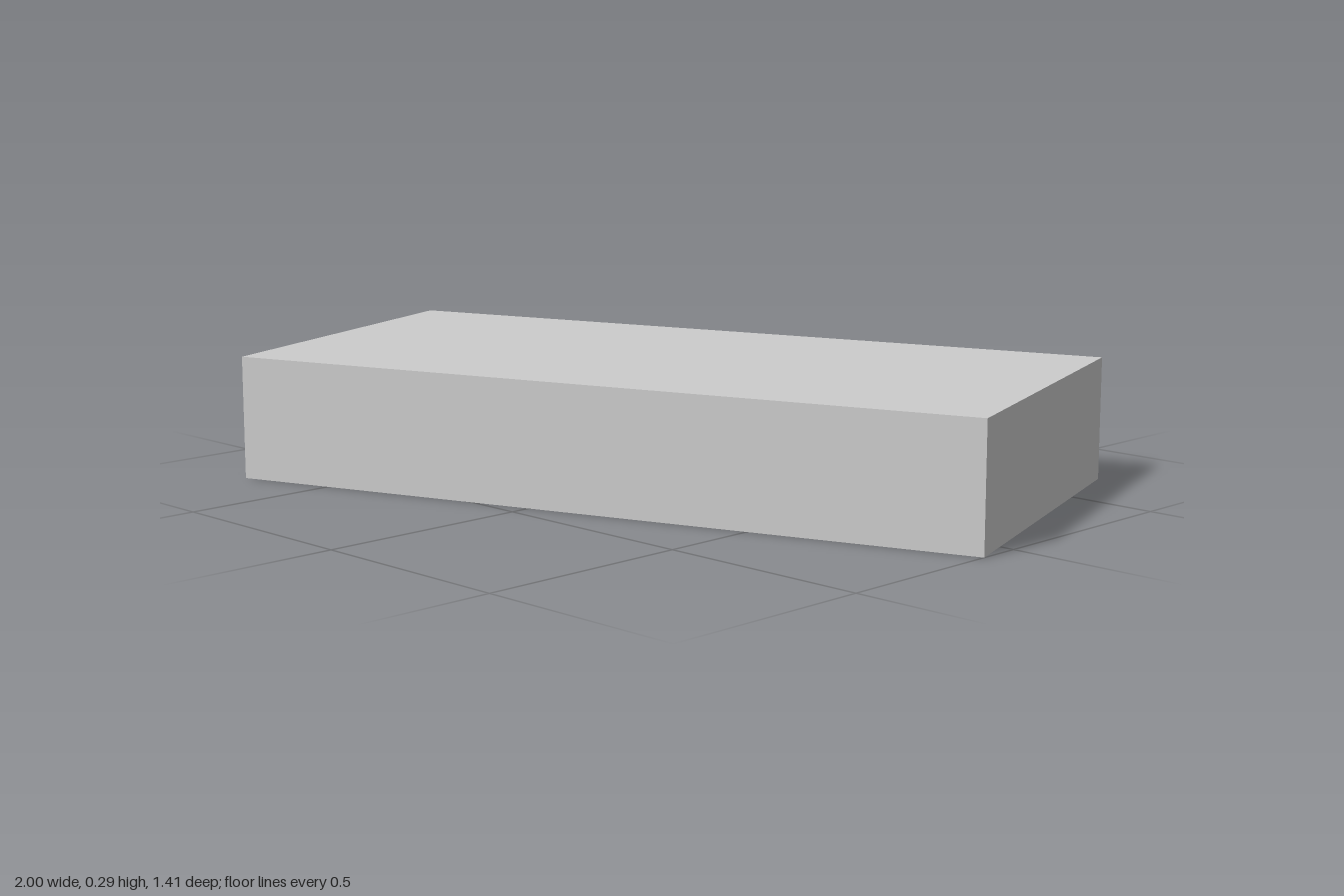
import * as THREE from 'three';

const LENGTH = 1.82, WIDTH = 0.853, HEIGHT = 0.29, RECESS = 0.01;
const material = new THREE.MeshStandardMaterial({ color: 0xcccccc, side: THREE.DoubleSide, flatShading: true });

// An opening: distance of its left edge from the wall's left end, then its size
const windowAt = (u) => ({ name: 'window', u, y: 0.044, w: 0.159, h: 0.148 });
const doorAt = (u) => ({ name: 'narrowOpening', u, y: 0.025, w: 0.06, h: 0.133 });

function mesh(name, geometry) {
  const m = new THREE.Mesh(geometry, material);
  m.name = name;
  return m;
}

// Shallow tray, open to the outside: four reveals and a back panel
function recess({ name, u, y, w, h }, length) {
  const geometry = new THREE.BoxGeometry(w, h, RECESS);
  const index = Array.from(geometry.index.array);
  index.splice(24, 6); // drop the outward face
  geometry.setIndex(index);
  geometry.clearGroups();
  const m = mesh(name, geometry);
  m.position.set(u + w / 2 - length / 2, y + h / 2, -RECESS / 2);
  return m;
}

// Thin wall facing +z, cut by its openings
function wall(name, length, openings = []) {
  const group = new THREE.Group();
  group.name = name;
  const a = length / 2;
  const rect = (Type, x0, y0, x1, y1) => new Type([
    new THREE.Vector2(x0, y0), new THREE.Vector2(x1, y0),
    new THREE.Vector2(x1, y1), new THREE.Vector2(x0, y1)]);
  const shape = rect(THREE.Shape, -a, 0, a, HEIGHT);
  for (const o of openings) {
    shape.holes.push(rect(THREE.Path, o.u - a, o.y, o.u + o.w - a, o.y + o.h));
    group.add(recess(o, length));
  }
  group.add(mesh(name + 'Face', new THREE.ShapeGeometry(shape)));
  return group;
}

export function createModel() {
  const model = new THREE.Group();
  model.name = 'building';
  const shell = new THREE.Group();
  shell.name = 'shell';
  shell.rotation.y = THREE.MathUtils.degToRad(19.5);
  model.add(shell);

  // Plain walls
  const front = wall('frontWall', LENGTH);
  front.position.z = WIDTH / 2;
  const left = wall('leftWall', WIDTH);
  left.rotation.y = Math.PI / 2;
  left.position.x = LENGTH / 2;

  // Long back wall with windows and narrow openings
  const back = wall('backWall', LENGTH, [
    ...[0.054, 0.445, 0.637, 0.831, 1.222, 1.415, 1.609].map(windowAt),
    ...[0.296, 1.074].map(doorAt),
  ]);
  back.rotation.y = Math.PI;
  back.position.z = -WIDTH / 2;

  // Short end wall with windows
  const right = wall('rightWall', WIDTH, [
    ...[0.052, 0.449, 0.647].map(windowAt), doorAt(0.297),
  ]);
  right.rotation.y = -Math.PI / 2;
  right.position.x = -LENGTH / 2;

  // Flat roof; the underside of the building stays open
  const roof = mesh('roof', new THREE.PlaneGeometry(LENGTH, WIDTH).rotateX(-Math.PI / 2));
  roof.position.y = HEIGHT;

  shell.add(front, left, back, right, roof);
  return model;
}
